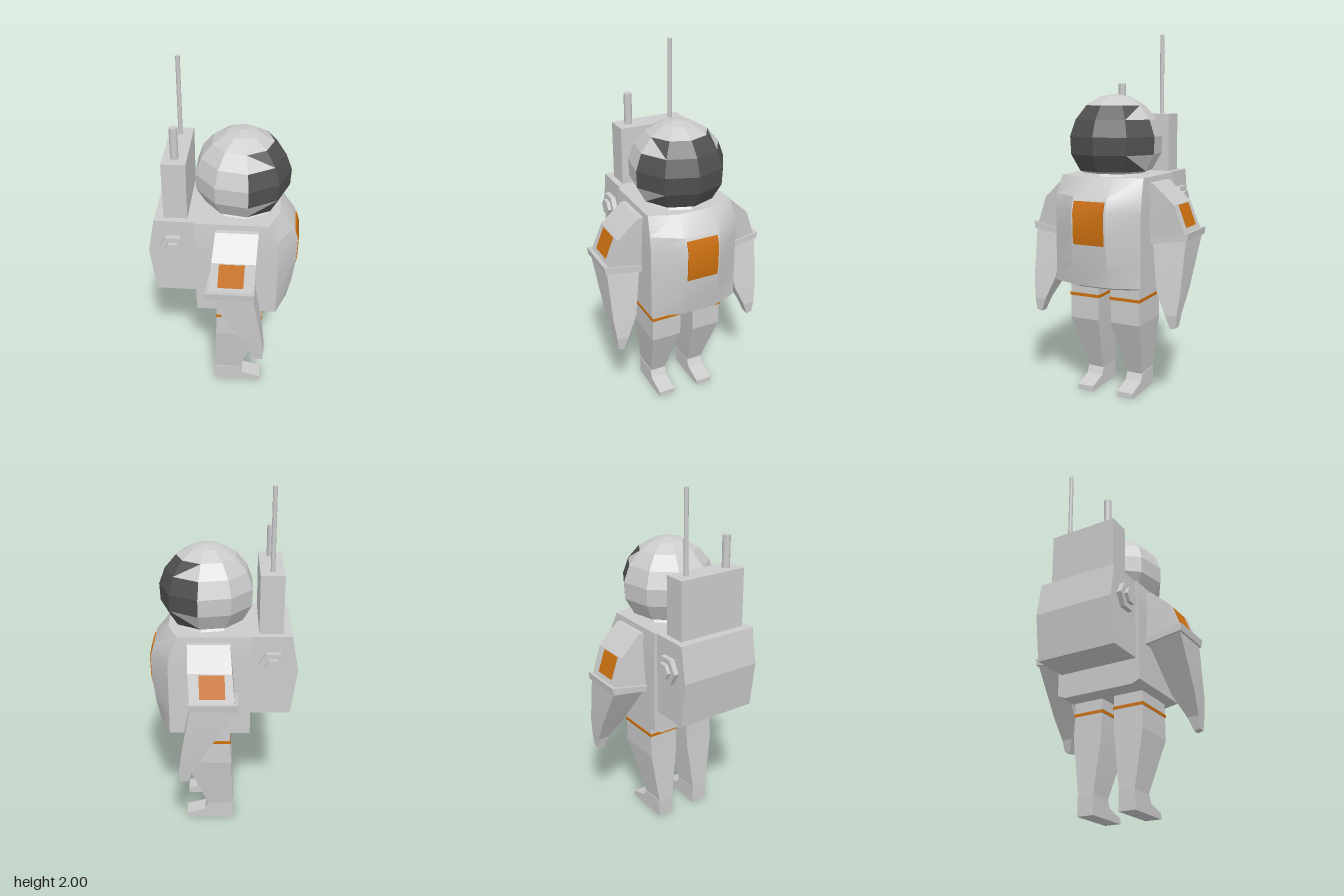
import * as THREE from 'three';
import { toCreasedNormals } from 'three/addons/utils/BufferGeometryUtils.js';

const grey = new THREE.MeshStandardMaterial({ color: 0xcccccc });
const orange = new THREE.MeshStandardMaterial({ color: 0xcc7010 });
const dark = new THREE.MeshStandardMaterial({ color: 0x505050 });

function fromTriangles(tris, crease) {
  const geo = new THREE.BufferGeometry();
  geo.setAttribute('position', new THREE.Float32BufferAttribute(tris.flat(), 3));
  return toCreasedNormals(geo, crease);
}

// Skin through rings of [x, y, z], bottom to top, anticlockwise from above
function loft(rings, crease = 0.1) {
  const t = [], n = rings[0].length;
  for (let r = 0; r + 1 < rings.length; r++) {
    for (let i = 0; i < n; i++) {
      const j = (i + 1) % n, lo = rings[r], hi = rings[r + 1];
      t.push(lo[i], lo[j], hi[j], lo[i], hi[j], hi[i]);
    }
  }
  const a = rings[0], b = rings[rings.length - 1];
  for (let i = 1; i + 1 < n; i++) t.push(a[0], a[i + 1], a[i], b[0], b[i], b[i + 1]);
  return fromTriangles(t, crease);
}

// Four-cornered ring; inner and outer edges may lie at different heights
const rect = (x0, x1, z0, z1, yIn, yOut = yIn) =>
  [[x1, yOut, z1], [x1, yIn, z0], [x0, yIn, z0], [x0, yOut, z1]];

// Mirror rings to the other side, keeping the winding
const mirrored = (rings, s) => s > 0 ? rings
  : rings.map(r => r.map(([x, y, z]) => [x, y, -z]).reverse());

function add(parent, name, geo, mat = grey) {
  const mesh = new THREE.Mesh(geo, mat);
  mesh.name = name;
  parent.add(mesh);
  return mesh;
}

// Extrude an x-y outline between two z values
function slab(points, z0, z1) {
  const shape = new THREE.Shape(points.map(p => new THREE.Vector2(...p)));
  return new THREE.ExtrudeGeometry(shape, { depth: z1 - z0, bevelEnabled: false }).translate(0, 0, z0);
}

function addTorso(g) {
  // height, side corner x, front x, half width
  const rows = [
    [0.63, 0.25, 0.3, 0.21], [0.65, 0.295, 0.352, 0.255], [0.78, 0.295, 0.38, 0.255],
    [0.92, 0.295, 0.397, 0.255], [1.05, 0.295, 0.4, 0.255], [1.13, 0.285, 0.376, 0.255],
    [1.23, 0.24, 0.295, 0.245],
  ];
  add(g, 'torso', loft(rows.map(([y, xs, xf, w]) => [
    [xf, y, 0.1], [xf, y, -0.1], [xs, y, -w], [-0.15, y, -w], [-0.15, y, w], [xs, y, w],
  ]), 0.5));
  const patch = [[0.88, 0.391], [0.92, 0.398], [1.05, 0.401], [1.11, 0.384]];
  add(g, 'chestPanel', loft(patch.map(([y, x]) => rect(x - 0.02, x + 0.004, -0.09, 0.09, y)), 0.5), orange);
  const collar = new THREE.CylinderGeometry(0.165, 0.215, 0.05, 9).toNonIndexed();
  collar.computeVertexNormals();
  add(g, 'collar', collar).position.set(0.085, 1.225, 0);
  g.getObjectByName('collar').rotation.y = Math.PI / 2;
}

function addHelmet(g) {
  // radius and height of each ring, top to bottom
  const rows = [[0, 1.667], [0.085, 1.652], [0.165, 1.605], [0.228, 1.53],
    [0.261, 1.44], [0.256, 1.345], [0.205, 1.255], [0.16, 1.238]];
  const at = (r, i) => {
    const a = i * Math.PI * 2 / 9;
    return [0.085 + rows[r][0] * Math.cos(a), rows[r][1], -rows[r][0] * Math.sin(a)];
  };
  const shell = [], visor = [];
  for (let i = -4; i <= 4; i++) {
    for (let r = 0; r < 7; r++) {
      const A = at(r, i), B = at(r, i + 1), C = at(r + 1, i + 1), D = at(r + 1, i);
      const front = i === -1 || i === 0, left = i === 1, right = i === -2;
      if (front || left || right) {
        const inside = front ? r >= 2 && r <= 5 : r === 3 || r === 4;
        const corner = !front && (r === 2 || r === 5);
        if (corner) {
          // cells cut diagonally at the visor corners
          const useAC = (left && r === 5) || (right && r === 2);
          const pair = useAC ? [[A, D, C], [A, C, B]] : [[A, D, B], [B, D, C]];
          const first = left;
          (first ? visor : shell).push(...pair[0]);
          (first ? shell : visor).push(...pair[1]);
          continue;
        }
        (inside ? visor : shell).push(A, D, C, A, C, B);
      } else shell.push(A, D, C, A, C, B);
    }
    shell.push(at(7, i + 1), at(7, i), [0.085, 1.238, 0]);
  }
  add(g, 'helmet', fromTriangles(shell, 0.05));
  add(g, 'visor', fromTriangles(visor, 0.05), dark);
}

function addBackpack(g) {
  add(g, 'backpack', slab([[-0.15, 0.77], [-0.15, 1.23], [-0.37, 1.23], [-0.405, 1.03], [-0.37, 0.77]], -0.235, 0.235));
  add(g, 'radioBox', new THREE.BoxGeometry(0.128, 0.33, 0.4)).position.set(-0.258, 1.39, 0);
  add(g, 'longAntenna', new THREE.CylinderGeometry(0.012, 0.012, 0.45, 12)).position.set(-0.26, 1.775, -0.128);
  add(g, 'shortAntenna', new THREE.CylinderGeometry(0.022, 0.022, 0.18, 12)).position.set(-0.26, 1.64, 0.128);
  const hex = r => Array.from({ length: 6 }, (_, i) =>
    [-0.268 + r * Math.cos(i * Math.PI / 3), 1.07 + r * Math.sin(i * Math.PI / 3)]);
  for (const s of [1, -1]) {
    const span = (a, b) => s > 0 ? [a, b] : [-b, -a];
    add(g, 'valve', slab(hex(0.08), ...span(0.22, 0.263)));
    add(g, 'valveCap', slab(hex(0.047), ...span(0.25, 0.283)));
  }
}

function addArm(g, s) {
  const arm = new THREE.Group();
  arm.name = s > 0 ? 'leftArm' : 'rightArm';
  g.add(arm);
  const part = (name, rings, mat) => add(arm, name, loft(mirrored(rings, s)), mat);
  part('upperArm', [
    rect(-0.065, 0.172, 0.25, 0.452, 0.89, 0.93),
    rect(-0.05, 0.182, 0.235, 0.393, 1.08, 1.09),
    rect(-0.04, 0.188, 0.23, 0.275, 1.2),
  ]);
  part('shoulderPatch', [
    rect(-0.015, 0.12, 0.42, 0.442, 0.965),
    rect(-0.01, 0.125, 0.37, 0.397, 1.085),
  ], orange);
  part('cuff', [
    rect(-0.08, 0.18, 0.257, 0.468, 0.872, 0.905),
    rect(-0.08, 0.18, 0.255, 0.473, 0.905, 0.945),
  ]);
  // forearm tapering forward into a small hand
  part('forearm', [
    rect(0.185, 0.232, 0.398, 0.43, 0.435, 0.445),
    rect(0.165, 0.238, 0.37, 0.436, 0.51),
    rect(0.095, 0.222, 0.315, 0.45, 0.63),
    rect(-0.07, 0.172, 0.27, 0.458, 0.88, 0.91),
  ]);
}

function addLeg(g, s) {
  const leg = new THREE.Group();
  leg.name = s > 0 ? 'leftLeg' : 'rightLeg';
  g.add(leg);
  const part = (name, rings, mat) => add(leg, name, loft(mirrored(rings, s)), mat);
  part('legTube', [
    rect(-0.062, 0.085, 0.078, 0.168, 0.1),
    rect(-0.047, 0.215, 0.04, 0.213, 0.42),
    rect(-0.04, 0.218, 0.035, 0.21, 0.65),
  ]);
  part('thighBand', [
    rect(-0.046, 0.22, 0.033, 0.215, 0.55),
    rect(-0.045, 0.22, 0.032, 0.215, 0.567),
  ], orange);
  const z = s > 0 ? [0.076, 0.172] : [-0.172, -0.076];
  add(leg, 'boot', slab([[-0.062, 0], [0.215, 0], [0.215, 0.03], [0.105, 0.062], [0.085, 0.105], [-0.062, 0.105]], ...z));
}

export function createModel() {
  const g = new THREE.Group();
  g.name = 'spacesuitFigure';
  addTorso(g);
  addHelmet(g);
  addBackpack(g);
  for (const s of [1, -1]) {
    addArm(g, s);
    addLeg(g, s);
  }
  return g;
}
